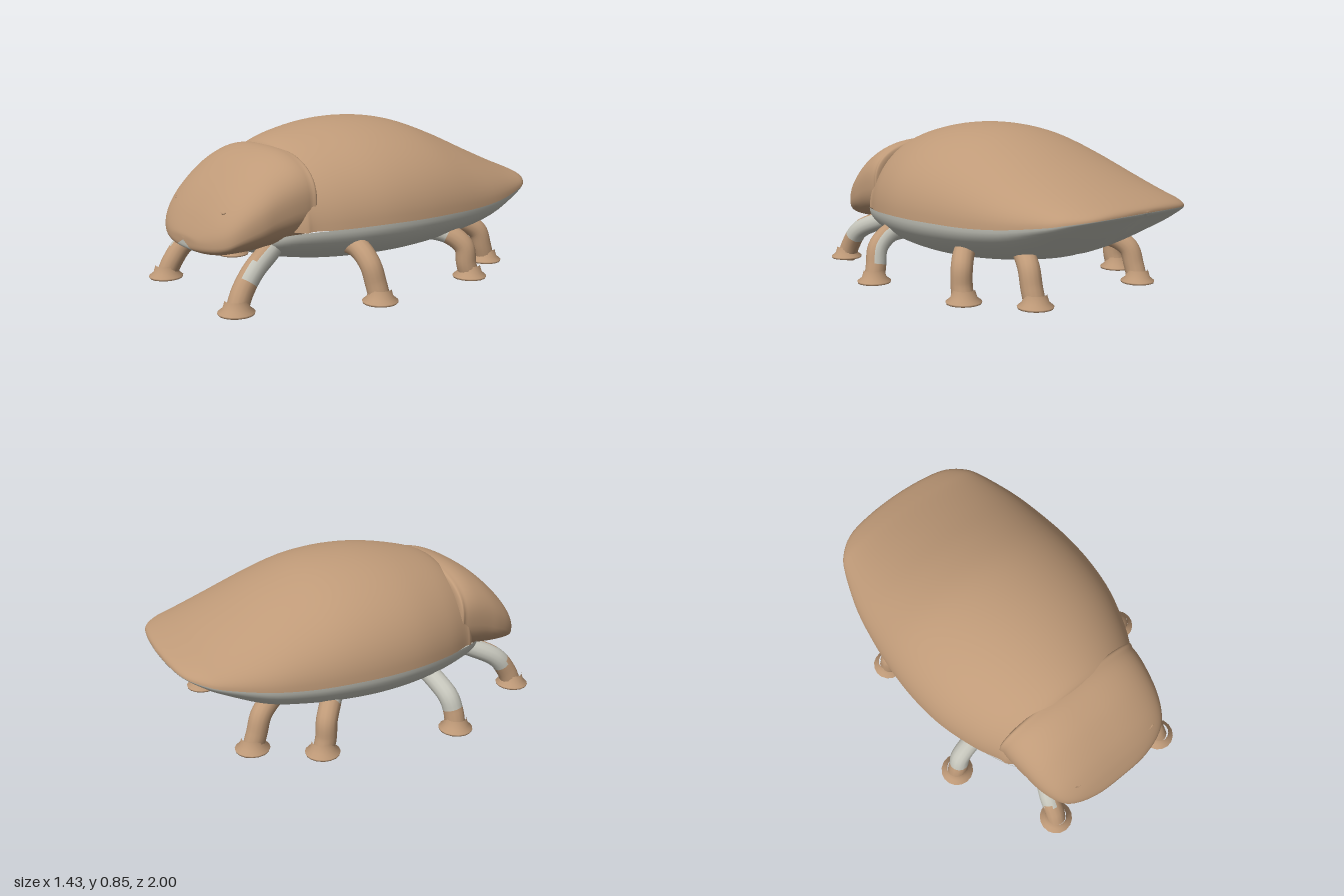
import * as THREE from 'three';

const tan = new THREE.MeshStandardMaterial({ color: 0xbf9a78 });
tan.name = 'tan';
const paleGrey = new THREE.MeshStandardMaterial({ color: 0xc4c4ba });
paleGrey.name = 'paleGrey';

const V = (x, y, z) => new THREE.Vector3(x, y, z);

// Rounded skin through rows of [z, halfWidth, topY, midY, bottomY], front to back.
// a0..a1 is the part of the section covered; power above 2 makes it boxier.
function loft(rows, a0, a1, { power = 2, groove = 0, steps = 56, segs = 40 } = {}) {
  const upper = new THREE.CatmullRomCurve3(rows.map(r => V(r[1], r[2], r[0])), false, 'catmullrom');
  const lower = new THREE.CatmullRomCurve3(rows.map(r => V(r[3], r[4], r[0])), false, 'catmullrom');
  const pos = [], index = [];
  const bend = v => Math.sign(v) * Math.abs(v) ** (2 / power);
  for (let i = 0; i <= steps; i++) {
    const u = upper.getPoint(i / steps), l = lower.getPoint(i / steps);
    const w = Math.max(u.x, 0.001);
    for (let j = 0; j <= segs; j++) {
      const a = a0 + (a1 - a0) * j / segs;
      const s = bend(Math.sin(a)), x = w * bend(Math.cos(a));
      let y = l.x + s * (s > 0 ? u.y - l.x : l.x - l.y);
      if (s < 0 && Math.abs(x) < 0.015) y += groove * Math.min(1, w * 3);
      pos.push(x, y, u.z);
      if (i < steps && j < segs) {
        const p = i * (segs + 1) + j, q = p + segs + 1;
        index.push(p, q, p + 1, p + 1, q, q + 1);
      }
    }
  }
  const g = new THREE.BufferGeometry();
  g.setAttribute('position', new THREE.Float32BufferAttribute(pos, 3));
  g.setIndex(index);
  g.computeVertexNormals();
  return g;
}

function add(parent, name, geometry, material) {
  const m = new THREE.Mesh(geometry, material);
  m.name = name;
  parent.add(m);
  return m;
}

// Bent leg with a flared foot; grey marks where the pale patch lies.
function leg(parent, name, points, grey) {
  const group = new THREE.Group();
  group.name = name;
  const pts = points.map(p => V(...p));
  const around = 14, along = 24;
  const g = new THREE.TubeGeometry(new THREE.CatmullRomCurve3(pts), along, 0.053, around);
  const idx = g.index.array, n = g.attributes.normal, main = [], patch = [];
  for (let k = 0; k < idx.length; k += 6) {
    const t = k / 6 / around / along;
    const facing = V().fromBufferAttribute(n, idx[k]).dot(grey.dir);
    const pale = t >= grey.from && t < grey.to && facing > grey.min;
    (pale ? patch : main).push(...idx.slice(k, k + 6));
  }
  g.setIndex([...main, ...patch]);
  g.addGroup(0, main.length, 0);
  g.addGroup(main.length, patch.length, 1);
  add(group, 'legTube', g, [tan, paleGrey]);

  const end = pts[pts.length - 1];
  const profile = [[0, -0.012], [0.085, -0.006], [0.088, 0.004], [0.065, 0.022], [0.053, 0.06]];
  const foot = add(group, 'foot', new THREE.LatheGeometry(
    profile.map(p => new THREE.Vector2(...p)), 16), tan);
  foot.position.copy(end);
  parent.add(group);
}

export function createModel() {
  const beetle = new THREE.Group();
  beetle.name = 'beetle';

  // Domed back shell
  const shell = [
    [0.62, 0.38, 0.60, 0.365], [0.57, 0.44, 0.70, 0.365], [0.53, 0.455, 0.755, 0.37],
    [0.4, 0.52, 0.80, 0.375], [0.2, 0.585, 0.837, 0.385], [0, 0.612, 0.845, 0.388],
    [-0.2, 0.612, 0.82, 0.39], [-0.4, 0.592, 0.753, 0.392], [-0.6, 0.555, 0.665, 0.405],
    [-0.8, 0.485, 0.577, 0.43], [-0.89, 0.43, 0.54, 0.447], [-0.96, 0.33, 0.51, 0.46],
    [-0.99, 0.18, 0.492, 0.467], [-1, 0, 0.475, 0.47],
  ].map(r => [...r, r[3]]);
  add(beetle, 'shell', loft(shell, 0, Math.PI), tan);

  // Pale underside with a groove down the middle
  const belly = [
    [0.78, 0.12, 0, 0.30, 0.275], [0.7, 0.31, 0, 0.33, 0.225], [0.6, 0.42, 0, 0.36, 0.19],
    [0.4, 0.515, 0, 0.375, 0.153], [0.2, 0.58, 0, 0.385, 0.138], [0, 0.608, 0, 0.388, 0.135],
    [-0.2, 0.608, 0, 0.39, 0.148], [-0.4, 0.588, 0, 0.392, 0.175], [-0.6, 0.552, 0, 0.405, 0.22],
    [-0.8, 0.482, 0, 0.43, 0.325], [-0.89, 0.427, 0, 0.447, 0.385], [-0.96, 0.328, 0, 0.46, 0.435],
    [-0.99, 0.18, 0, 0.467, 0.455], [-1, 0, 0, 0.47, 0.468],
  ];
  add(beetle, 'belly', loft(belly, Math.PI, 2 * Math.PI, { groove: 0.025 }), paleGrey);

  // Head shield, sloping to the front, with a pale strip below
  const head = [
    [0.99, 0, 0.32, 0.315, 0.31], [0.985, 0.14, 0.345, 0.31, 0.275], [0.96, 0.25, 0.40, 0.32, 0.26],
    [0.92, 0.325, 0.47, 0.34, 0.253], [0.86, 0.37, 0.55, 0.38, 0.25], [0.78, 0.4, 0.63, 0.42, 0.25],
    [0.7, 0.415, 0.69, 0.46, 0.252], [0.61, 0.428, 0.73, 0.49, 0.255], [0.54, 0.432, 0.736, 0.5, 0.27],
    [0.505, 0.42, 0.715, 0.5, 0.30], [0.5, 0.2, 0.6, 0.5, 0.4], [0.5, 0, 0.5, 0.5, 0.5],
  ];
  const lowA = Math.PI * 1.36, lowB = Math.PI * 1.64, boxy = { power: 2.5 };
  add(beetle, 'headShield', loft(head, lowB - 2 * Math.PI, lowA, { ...boxy, segs: 56 }), tan);
  add(beetle, 'headUnderside', loft(head, lowA, lowB, { ...boxy, segs: 12 }), paleGrey);

  // Small eyelid creases
  for (const s of [1, -1]) {
    const eye = add(beetle, s > 0 ? 'leftEyelid' : 'rightEyelid',
      new THREE.TorusGeometry(0.025, 0.004, 6, 12, Math.PI * 0.8), tan);
    eye.position.set(s * 0.24, 0.485, 0.887);
    eye.rotation.set(-0.7, 0, Math.PI * (s > 0 ? 1 : 1.2));
  }

  // Four pairs of legs, listed for the left side
  const all = { dir: V(0, 0, 0), min: -1, from: 0 };
  const mirror = (pts, s) => pts.map(([x, y, z]) => [s * x, y, z]);
  const front = [[0.2, 0.30, 0.58], [0.28, 0.265, 0.68], [0.345, 0.2, 0.81], [0.36, 0.11, 0.88], [0.37, 0.03, 0.915]];
  const back = [[0.4, 0.27, -0.22], [0.49, 0.25, -0.28], [0.55, 0.19, -0.33], [0.56, 0.1, -0.34], [0.565, 0.03, -0.36]];
  const rear = [[0.28, 0.26, -0.46], [0.33, 0.25, -0.53], [0.37, 0.2, -0.6], [0.38, 0.11, -0.63], [0.38, 0.03, -0.655]];
  for (const s of [1, -1]) {
    const side = s > 0 ? 'left' : 'right';
    leg(beetle, side + 'FrontLeg', mirror(front, s), { dir: V(s, 0, -0.3), min: 0.15, from: 0.15, to: 0.7 });
    leg(beetle, side + 'BackLeg', mirror(back, s), { ...all, to: 0.3, min: -2 });
    leg(beetle, side + 'RearLeg', mirror(rear, s), { ...all, to: 0.2, min: -2 });
  }
  // The middle pair is caught mid-step
  leg(beetle, 'leftMiddleLeg',
    [[0.36, 0.28, 0.31], [0.5, 0.265, 0.31], [0.58, 0.2, 0.305], [0.605, 0.11, 0.29], [0.625, 0.03, 0.28]],
    { dir: V(-0.4, 0, -0.9), min: 0.2, from: 0, to: 0.8 });
  leg(beetle, 'rightMiddleLeg',
    [[-0.34, 0.28, 0.31], [-0.47, 0.235, 0.33], [-0.58, 0.175, 0.35], [-0.61, 0.1, 0.365], [-0.63, 0.012, 0.37]],
    { ...all, to: 0.75, min: -2 });

  return beetle;
}
